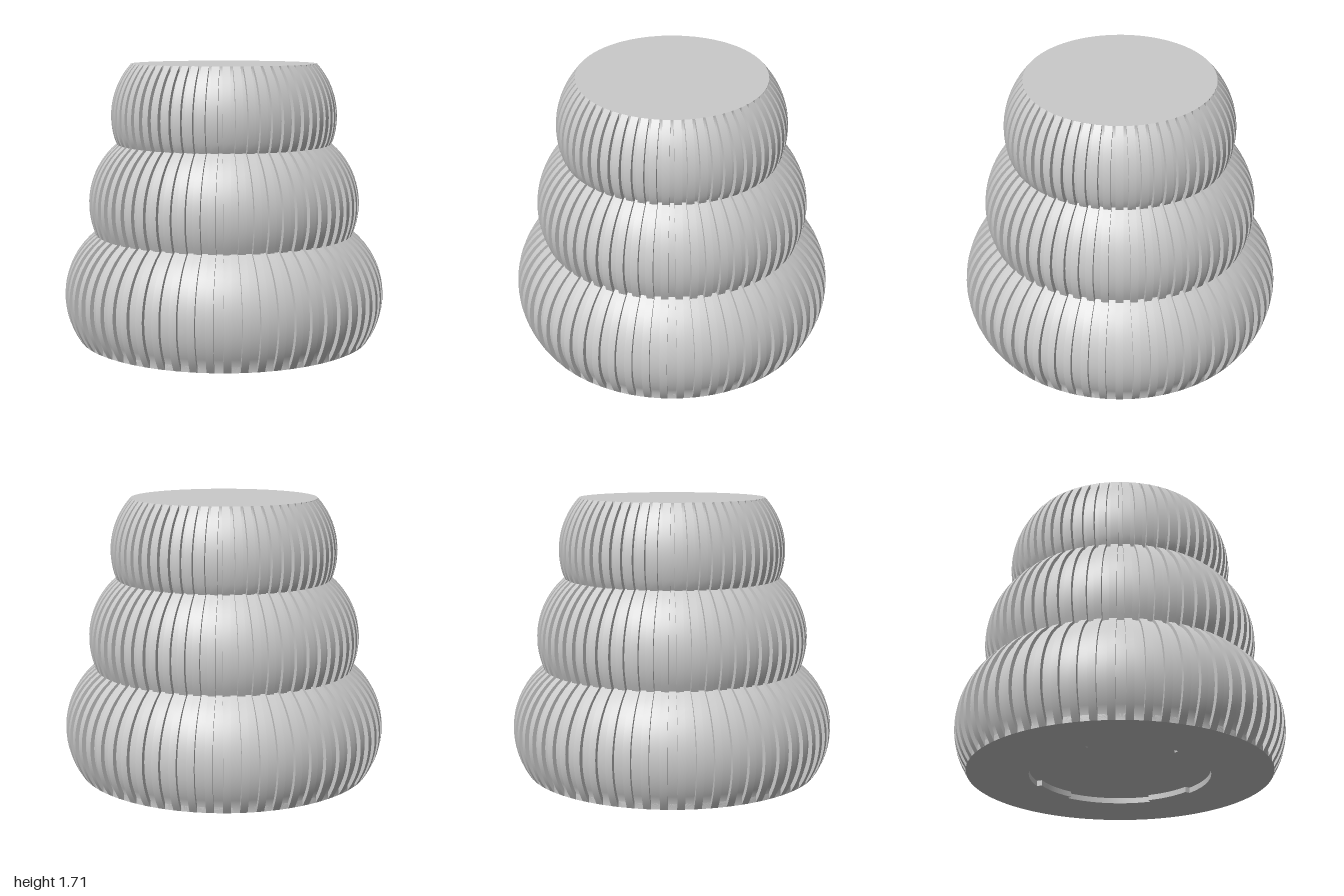
import * as THREE from 'three';
import { toCreasedNormals } from 'three/addons/utils/BufferGeometryUtils.js';

const HEIGHT = 1.705, ARC = 0.48, BASE_R = 0.917, TOP_R = 0.573;
const RIBS = 60, RIB_WIDTH = 0.044, RIB_DEPTH = 0.025, RECESS = 0.035;

// Three stacked bulges, each a circular arc: centre radius, centre height, y range
const TIERS = [
  { r: 0.52, y: 0.27, from: 0, to: 0.655 },
  { r: 0.363, y: 0.84, from: 0.655, to: 1.212 },
  { r: 0.22, y: 1.38, from: 1.212, to: HEIGHT },
];

// Outer silhouette as (radius, y) points from bottom to top
function outline(steps) {
  const pts = [];
  TIERS.forEach((t, i) => {
    for (let k = i ? 1 : 0; k <= steps; k++) {
      const y = t.from + (t.to - t.from) * k / steps;
      pts.push(new THREE.Vector2(t.r + Math.sqrt(ARC * ARC - (y - t.y) ** 2), y));
    }
  });
  return pts;
}

// Socket edge: four inward tabs on a larger circle
function socketPath() {
  const path = new THREE.Path();
  const rad = THREE.MathUtils.degToRad;
  for (let k = 0; k < 4; k++) {
    const a = 90 * k + 6;
    path.absarc(0, 0, 0.512, rad(a), rad(a + 32), false);
    path.absarc(0, 0, 0.545, rad(a + 32), rad(a + 90), false);
  }
  path.closePath();
  return path;
}

export function createModel() {
  const model = new THREE.Group();
  const grey = new THREE.MeshStandardMaterial({ color: 0xcacaca });
  grey.name = 'light grey';
  const add = (geometry, name, parent = model) => {
    const mesh = new THREE.Mesh(geometry, grey);
    mesh.name = name;
    parent.add(mesh);
    return mesh;
  };
  const profile = outline(16);

  // Core between the ribs, meeting the rib faces at both end rims
  const corePts = profile.map(p =>
    new THREE.Vector2(Math.max(p.x - RIB_DEPTH, p.y < 0.3 ? BASE_R : TOP_R), p.y));
  add(toCreasedNormals(new THREE.LatheGeometry(corePts, 120), 0.6), 'core');

  // Flat top
  const top = new THREE.CircleGeometry(TOP_R, 120);
  top.rotateX(-Math.PI / 2).translate(0, HEIGHT, 0);
  add(top, 'topCap');

  // Ribs: one profile slab repeated around the axis
  const slab = new THREE.Shape([
    ...profile,
    ...profile.map(p => new THREE.Vector2(p.x - 0.05, p.y)).reverse(),
  ]);
  let ribGeo = new THREE.ExtrudeGeometry(slab, { depth: RIB_WIDTH, bevelEnabled: false });
  ribGeo.translate(0, 0, -RIB_WIDTH / 2);
  ribGeo = toCreasedNormals(ribGeo, 0.6);
  const ribs = new THREE.Group();
  ribs.name = 'ribs';
  model.add(ribs);
  for (let i = 0; i < RIBS; i++) {
    add(ribGeo, 'rib', ribs).rotation.y = i * 2 * Math.PI / RIBS;
  }

  // Base plate with the tabbed socket cut through it
  const disc = new THREE.Shape();
  disc.absarc(0, 0, BASE_R, 0, 2 * Math.PI, false);
  disc.holes.push(socketPath());
  const plate = new THREE.ExtrudeGeometry(disc, { depth: RECESS, bevelEnabled: false, curveSegments: 60 });
  plate.rotateX(Math.PI / 2).translate(0, RECESS, 0);
  add(toCreasedNormals(plate, 0.5), 'basePlate');

  // Floor of the shallow socket
  const floor = new THREE.CircleGeometry(0.6, 60);
  floor.rotateX(Math.PI / 2).translate(0, RECESS - 0.001, 0);
  add(floor, 'socketFloor');

  return model;
}
